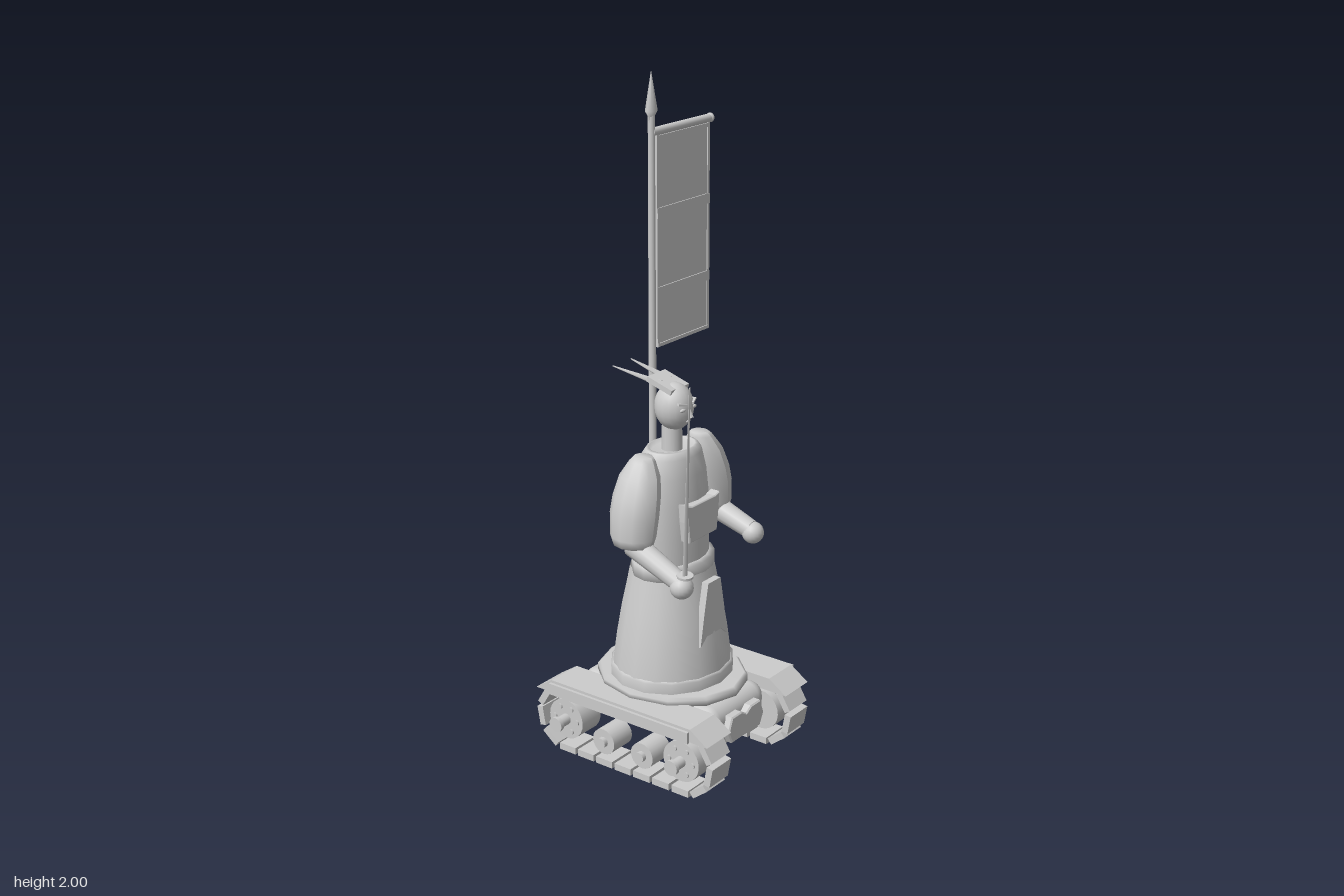
import * as THREE from 'three';
import { RoundedBoxGeometry } from 'three/addons/geometries/RoundedBoxGeometry.js';

const CX = -0.04; // centre line of the vehicle and figure
const grey = new THREE.MeshStandardMaterial({ color: 0xcccccc, side: THREE.DoubleSide });
grey.name = 'plain grey';
const V = (x, y, z) => new THREE.Vector3(x, y, z);

export function createModel() {
  const model = new THREE.Group();

  const add = (name, geometry, x = 0, y = 0, z = 0, parent = model) => {
    const mesh = new THREE.Mesh(geometry, grey);
    mesh.name = name;
    mesh.position.set(x, y, z);
    parent.add(mesh);
    return mesh;
  };
  const box = (name, w, h, d, x, y, z, parent) => add(name, new THREE.BoxGeometry(w, h, d), x, y, z, parent);
  // Elliptical turned part; profile is [radius, height] from bottom to top
  const turned = (name, profile, sides, depth, x, y, z, parent) => {
    const g = new THREE.LatheGeometry(profile.map(p => new THREE.Vector2(...p)), sides);
    g.scale(1, 1, depth);
    return add(name, g, x, y, z, parent);
  };
  // Tapered round bar between two points
  const bar = (name, a, b, ra, rb, sides = 14, parent = model) => {
    const mesh = add(name, new THREE.CylinderGeometry(rb, ra, a.distanceTo(b), sides), 0, 0, 0, parent);
    mesh.position.copy(a).lerp(b, 0.5);
    mesh.quaternion.setFromUnitVectors(V(0, 1, 0), b.clone().sub(a).normalize());
    return mesh;
  };
  // Flat outline extruded along z
  const plate = (name, pts, depth, x, y, z, bevel = 0) => {
    const shape = new THREE.Shape(pts.map(p => new THREE.Vector2(...p)));
    const g = new THREE.ExtrudeGeometry(shape, {
      depth, bevelEnabled: bevel > 0, bevelSize: bevel, bevelThickness: bevel, bevelSegments: 1
    });
    return add(name, g, x, y, z);
  };
  const ball = (name, r, x, y, z, sx = 1, sy = 1, sz = 1) => {
    const mesh = add(name, new THREE.SphereGeometry(r, 18, 12), x, y, z);
    mesh.scale.set(sx, sy, sz);
    return mesh;
  };

  // Hull and its nose plate
  add('hull', new RoundedBoxGeometry(0.28, 0.143, 0.5, 4, 0.045), CX, 0.152, 0);
  plate('nosePlate', [[-0.085, 0.15], [-0.068, 0.19], [-0.025, 0.19], [0, 0.175], [0.025, 0.19],
    [0.068, 0.19], [0.085, 0.15], [0.068, 0.115], [-0.068, 0.115]], 0.025, CX, 0, 0.243, 0.004);

  // Track assemblies, one each side
  for (const s of [-1, 1]) {
    const side = new THREE.Group();
    side.name = s < 0 ? 'rightTrack' : 'leftTrack';
    side.position.x = CX + s * 0.197;
    model.add(side);
    const fender = plate('fender', [[-0.315, 0.19], [-0.255, 0.23], [0.255, 0.23], [0.315, 0.19]], 0.117, 0, 0, 0);
    fender.rotation.y = Math.PI / 2;
    fender.position.x = -0.0585;
    side.add(fender);
    box('fenderStrip', 0.009, 0.035, 0.51, s * 0.067, 0.207, 0, side);

    // Links spaced evenly round a stadium path
    const half = 0.215, R = 0.096, straight = 2 * half, arc = Math.PI * R, total = 2 * (straight + arc);
    const links = 21;
    for (let i = 0; i < links; i++) {
      let d = (half + i * total / links) % total, z, y, a;
      const turn = d >= straight + arc ? -1 : 1;
      if (turn < 0) d -= straight + arc;
      if (d < straight) {
        z = turn * (d - half); y = 0.107 - turn * R; a = 0;
      } else {
        a = (d - straight) / R;
        z = turn * (half + Math.sin(a) * R);
        y = 0.107 - turn * Math.cos(a) * R;
      }
      box('trackLink', 0.09, 0.021, 0.06, 0, y, z, side).rotation.x = -a;
    }

    // Large end wheels with projecting hubs
    for (const z of [-0.213, 0.213]) {
      const across = (name, r, x0, x1) => bar(name, V(s * x0, 0.109, z), V(s * x1, 0.109, z), r, r, 24, side);
      across('endWheel', 0.063, -0.04, 0.044);
      across('axle', 0.017, 0.04, 0.085);
      across('hubFlange', 0.023, 0.082, 0.094);
      for (let k = 0; k < 6; k++) {
        const t = k * Math.PI / 3, y = 0.109 + Math.sin(t) * 0.042, w = z + Math.cos(t) * 0.042;
        bar('wheelBolt', V(s * 0.042, y, w), V(s * 0.049, y, w), 0.008, 0.008, 8, side);
      }
    }
    // Small road rollers
    for (const z of [-0.071, 0.071]) {
      bar('roller', V(-s * 0.04, 0.079, z), V(s * 0.044, 0.079, z), 0.04, 0.04, 20, side);
      bar('rollerHub', V(s * 0.04, 0.079, z), V(s * 0.058, 0.079, z), 0.016, 0.016, 12, side);
    }
  }

  // Robe, belt and torso
  turned('baseRing', [[0, 0.225], [0.205, 0.225], [0.205, 0.243], [0.196, 0.251], [0, 0.251]], 12, 1.14, CX, 0, 0);
  turned('hem', [[0.192, 0.25], [0.193, 0.282], [0.184, 0.287]], 14, 0.93, CX, 0, 0);
  turned('skirt', [[0.187, 0.25], [0.183, 0.3], [0.172, 0.38], [0.156, 0.47], [0.138, 0.55], [0.13, 0.59]],
    16, 0.92, CX, 0, 0);
  turned('belt', [[0.12, 0.58], [0.141, 0.58], [0.141, 0.617], [0.12, 0.621]], 16, 0.77, CX, 0, 0.004);
  turned('torso', [[0.126, 0.6], [0.127, 0.7], [0.125, 0.8], [0.116, 0.88], [0.102, 0.935], [0.088, 0.953],
    [0.078, 0.955], [0.07, 0.943], [0, 0.943]], 18, 0.76, CX, 0, 0);
  plate('chestPlate', [[-0.075, 0.81], [-0.055, 0.804], [0.055, 0.804], [0.075, 0.81], [0.071, 0.76],
    [0.063, 0.7], [-0.063, 0.7], [-0.071, 0.76]], 0.028, CX, 0, 0.083, 0.003);
  plate('frontPanel', [[-0.03, 0.57], [0.03, 0.57], [0.05, 0.47], [0.066, 0.38], [0.035, 0.405],
    [-0.035, 0.405], [-0.066, 0.38], [-0.05, 0.47]], 0.022, CX, 0, 0.131);

  // Neck and head
  bar('neck', V(CX, 0.93, 0), V(CX, 1.03, 0), 0.031, 0.029, 16);
  ball('head', 0.056, CX, 1.073, 0.008, 1, 1.25, 1.03);
  const nose = add('nose', new THREE.ConeGeometry(0.008, 0.03, 4), CX, 1.065, 0.066);
  nose.rotation.x = -0.25;
  ball('mouth', 0.008, CX, 1.037, 0.057, 1.2, 0.6, 0.6);
  for (const s of [-1, 1]) {
    ball('eye', 0.011, CX + s * 0.024, 1.075, 0.058, 1.2, 0.5, 0.5);
    box('brow', 0.03, 0.006, 0.012, CX + s * 0.025, 1.092, 0.056).rotation.set(0, s * 0.4, s * 0.2);
    // Swept horns
    bar('horn', V(CX + s * 0.022, 1.138, -0.02), V(CX + s * 0.042, 1.166, -0.18), 0.012, 0.002, 4);
  }
  const crest = box('crestPlate', 0.083, 0.016, 0.09, CX, 1.138, -0.015);
  crest.rotation.x = 0.3;

  // Sleeves, forearms and hands
  for (const s of [-1, 1]) {
    const label = s < 0 ? 'right' : 'left';
    const sleeve = turned(label + 'Sleeve', [[0, 0.72], [0.048, 0.72], [0.054, 0.71], [0.061, 0.735], [0.065, 0.8],
      [0.063, 0.85], [0.054, 0.905], [0.034, 0.947], [0.025, 0.958], [0, 0.958]], 12, 1.13, CX, 0, 0);
    const p = sleeve.geometry.attributes.position;
    for (let i = 0; i < p.count; i++) {
      const t = (0.958 - p.getY(i)) / 0.248; // lean outward toward the cuff
      p.setX(i, p.getX(i) + s * (0.133 + 0.05 * Math.sin(t * Math.PI / 2)));
    }
    sleeve.geometry.computeVertexNormals();
  }
  bar('rightForearm', V(-0.22, 0.705, 0), V(-0.234, 0.636, 0.18), 0.036, 0.028);
  ball('rightHand', 0.034, -0.236, 0.627, 0.182);
  bar('leftForearm', V(0.143, 0.72, 0), V(0.144, 0.668, 0.15), 0.036, 0.029);
  ball('leftHand', 0.033, 0.144, 0.66, 0.158);

  // Sword
  const pommel = V(-0.229, 0.597, 0.187), guard = V(-0.234, 0.66, 0.192), tip = V(-0.276, 1.235, 0.238);
  bar('swordGrip', pommel, guard, 0.01, 0.01, 10);
  bar('swordGuard', guard, guard.clone().lerp(tip, 0.012), 0.024, 0.024, 12);
  bar('swordBlade', guard, tip, 0.012, 0.003, 4).scale.z = 0.6;

  // Pole, spear tip and hanging banner
  const PX = 0.04, PZ = -0.131;
  bar('pole', V(PX, 0.61, PZ), V(PX, 1.88, PZ), 0.012, 0.01, 12);
  turned('spearTip', [[0.01, 1.85], [0.011, 1.87], [0.021, 1.886], [0, 2]], 8, 0.75, PX, 0, PZ);
  bar('crossbar', V(PX, 1.826, PZ), V(0.32, 1.826, PZ), 0.012, 0.012, 10);
  ball('crossbarEnd', 0.014, 0.317, 1.826, PZ, 0.8, 1, 1);
  box('banner', 0.245, 0.62, 0.008, 0.183, 1.507, PZ);
  for (const x of [0.062, 0.303]) box('bannerEdge', 0.01, 0.62, 0.013, x, 1.507, PZ);
  for (const [y, h] of [[1.202, 0.01], [1.36, 0.03], [1.592, 0.03], [1.808, 0.012]])
    box('bannerBand', 0.249, h, 0.015, 0.183, y, PZ);

  return model;
}
